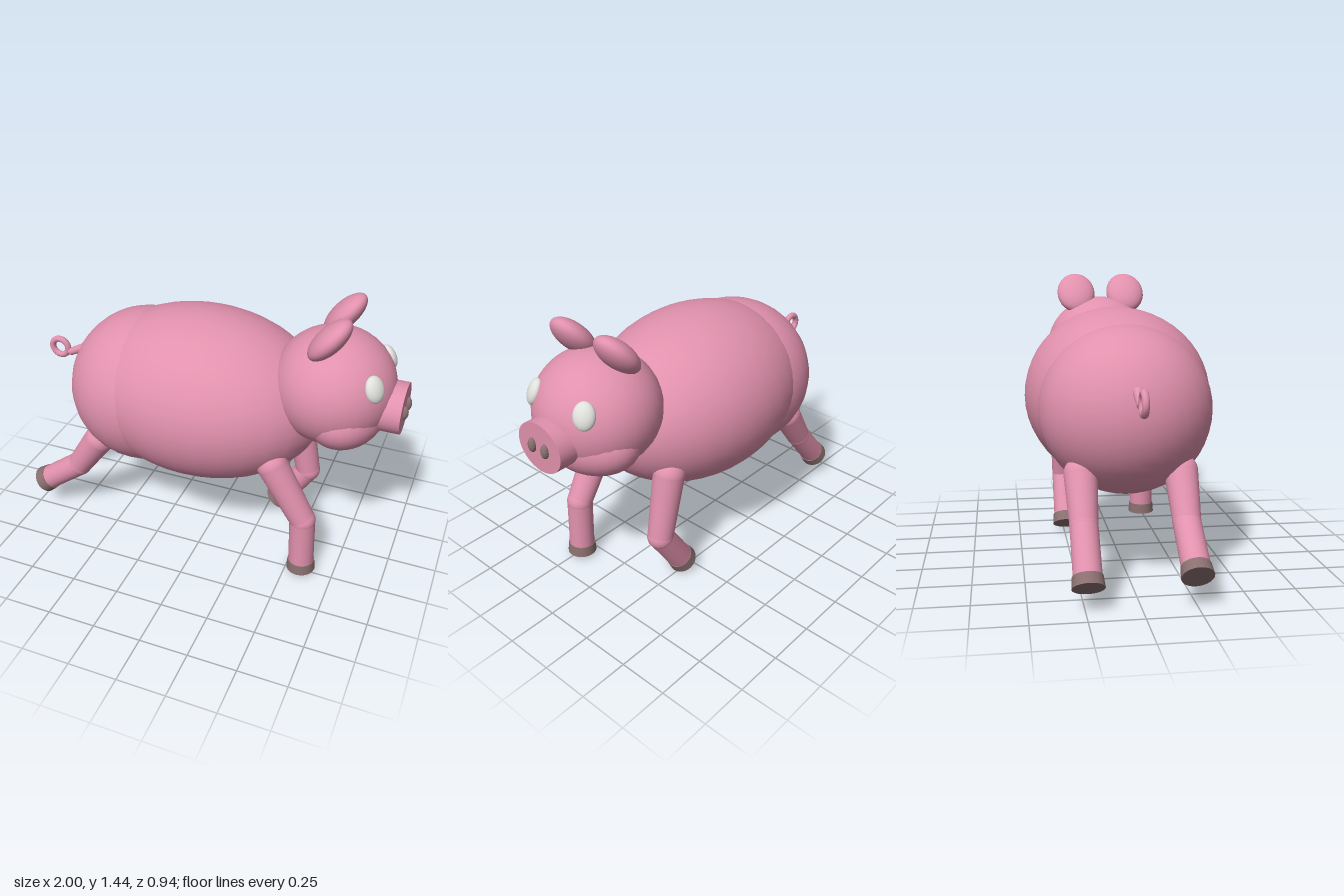
import * as THREE from 'three';

export function createModel() {
  const pig = new THREE.Group();
  pig.name = 'pig';

  const paint = (name, color) => {
    const m = new THREE.MeshStandardMaterial({ color });
    m.name = name;
    return m;
  };
  const pink = paint('pink skin', 0xe191ad);
  const brown = paint('hoof brown', 0x8a6f6f);
  const white = paint('eye white', 0xe0e0dc);

  const add = (name, geometry, material, parent = pig) => {
    const mesh = new THREE.Mesh(geometry, material);
    mesh.name = name;
    parent.add(mesh);
    return mesh;
  };
  const ellipsoid = (name, pos, radii, material, parent) => {
    const mesh = add(name, new THREE.SphereGeometry(1, 32, 24), material, parent);
    mesh.position.set(...pos);
    mesh.scale.set(...radii);
    return mesh;
  };
  // Tapered round bar between two points
  const bar = (name, a, b, ra, rb, material, parent) => {
    const dir = b.clone().sub(a);
    const mesh = add(name, new THREE.CylinderGeometry(rb, ra, dir.length(), 24), material, parent);
    mesh.position.copy(a).add(b).multiplyScalar(0.5);
    mesh.quaternion.setFromUnitVectors(new THREE.Vector3(0, 1, 0), dir.normalize());
    return mesh;
  };

  // Trunk and head masses, nose toward +x
  ellipsoid('body', [-0.06, 0.84, 0], [0.65, 0.445, 0.472], pink);
  ellipsoid('rump', [-0.38, 0.812, 0], [0.405, 0.408, 0.42], pink);
  ellipsoid('head', [0.62, 1.025, 0], [0.305, 0.29, 0.31], pink);
  ellipsoid('jaw', [0.69, 0.92, 0], [0.205, 0.185, 0.295], pink);

  // Snout disc
  const snout = add('snout', new THREE.CylinderGeometry(1, 1, 0.115, 32), pink);
  snout.rotation.z = -Math.PI / 2;
  snout.scale.set(0.123, 1, 0.141);
  snout.position.set(0.917, 0.966, 0);

  // Paired face parts; the animal's left is -z
  for (const [side, s] of [['left', -1], ['right', 1]]) {
    ellipsoid(side + 'Nostril', [0.978, 0.967, s * 0.043], [0.02, 0.036, 0.021], brown);

    const eye = ellipsoid(side + 'Eye', [0.845, 1.137, s * 0.165], [0.052, 0.066, 0.032], white);
    eye.lookAt(0.845 + 0.24, 1.137 + 0.12, s * (0.165 + 0.165));

    const ear = ellipsoid(side + 'Ear', [0.615, 1.337, s * 0.143], [0.134, 0.06, 0.108], pink);
    ear.rotation.z = 0.86;
  }

  // Legs: hip, knee and sole as [x, y], plus z
  const legs = [
    ['rightFrontLeg', [0.395, 0.645], [0.572, 0.34], [0.58, 0.022], 0.24],
    ['leftFrontLeg', [0.395, 0.645], [0.465, 0.295], [0.3, 0.045], -0.237],
    ['rightBackLeg', [-0.575, 0.545], [-0.715, 0.34], [-0.953, 0.163], 0.235],
    ['leftBackLeg', [-0.575, 0.545], [-0.71, 0.345], [-0.902, 0.115], -0.237],
  ];
  for (const [name, h, k, f, z] of legs) {
    const leg = new THREE.Group();
    leg.name = name;
    pig.add(leg);
    const [hip, knee, sole] = [h, k, f].map(([x, y]) => new THREE.Vector3(x, y, z));
    const ankle = sole.clone().lerp(knee, 0.055 / sole.distanceTo(knee));
    ellipsoid('hip', hip.toArray(), [0.08, 0.08, 0.08], pink, leg);
    bar('upperLeg', hip, knee, 0.08, 0.066, pink, leg);
    ellipsoid('knee', knee.toArray(), [0.067, 0.067, 0.067], pink, leg);
    bar('lowerLeg', knee, ankle, 0.066, 0.066, pink, leg);
    bar('hoof', ankle, sole, 0.07, 0.075, brown, leg);
  }

  // Curly tail: short stem and ring
  bar('tailStem', new THREE.Vector3(-0.75, 0.95, 0), new THREE.Vector3(-0.848, 0.9, 0), 0.024, 0.02, pink);
  const ring = add('tailRing', new THREE.TorusGeometry(0.047, 0.017, 12, 28), pink);
  ring.position.set(-0.908, 0.92, 0);

  return pig;
}
